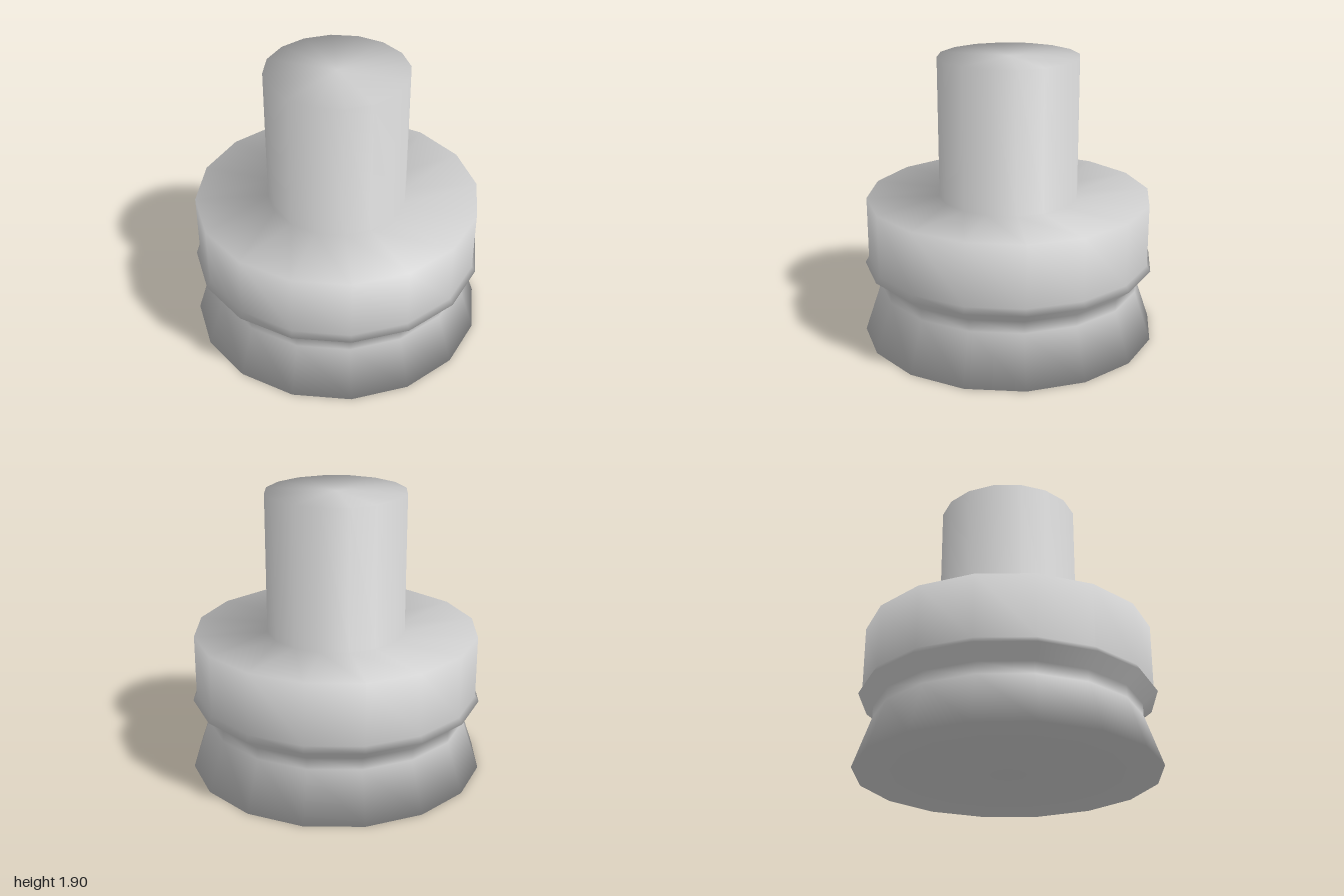
import * as THREE from 'three';

const SIDES = 16;

export function createModel() {
  const model = new THREE.Group();
  model.name = 'turnedKnob';

  // Radius and height, from the centre of the underside up to the centre of the top
  const profile = [
    [0, 0], [1, 0],               // underside and foot rim
    [0.885, 0.34], [0.885, 0.42], // flared foot and neck
    [0.985, 0.5], [0.96, 0.54],   // bead under the drum
    [0.96, 0.96], [0.47, 0.96],   // drum wall and shoulder
    [0.47, 1.905], [0, 1.905],    // stem and its top
  ].map(([r, y]) => new THREE.Vector2(r, y));

  // One continuous smooth-shaded turning: foot, neck, bead, drum and stem
  const body = new THREE.Mesh(
    new THREE.LatheGeometry(profile, SIDES),
    new THREE.MeshStandardMaterial({ color: 0xcccccc })
  );
  body.name = 'footDrumAndStem';
  model.add(body);

  return model;
}
